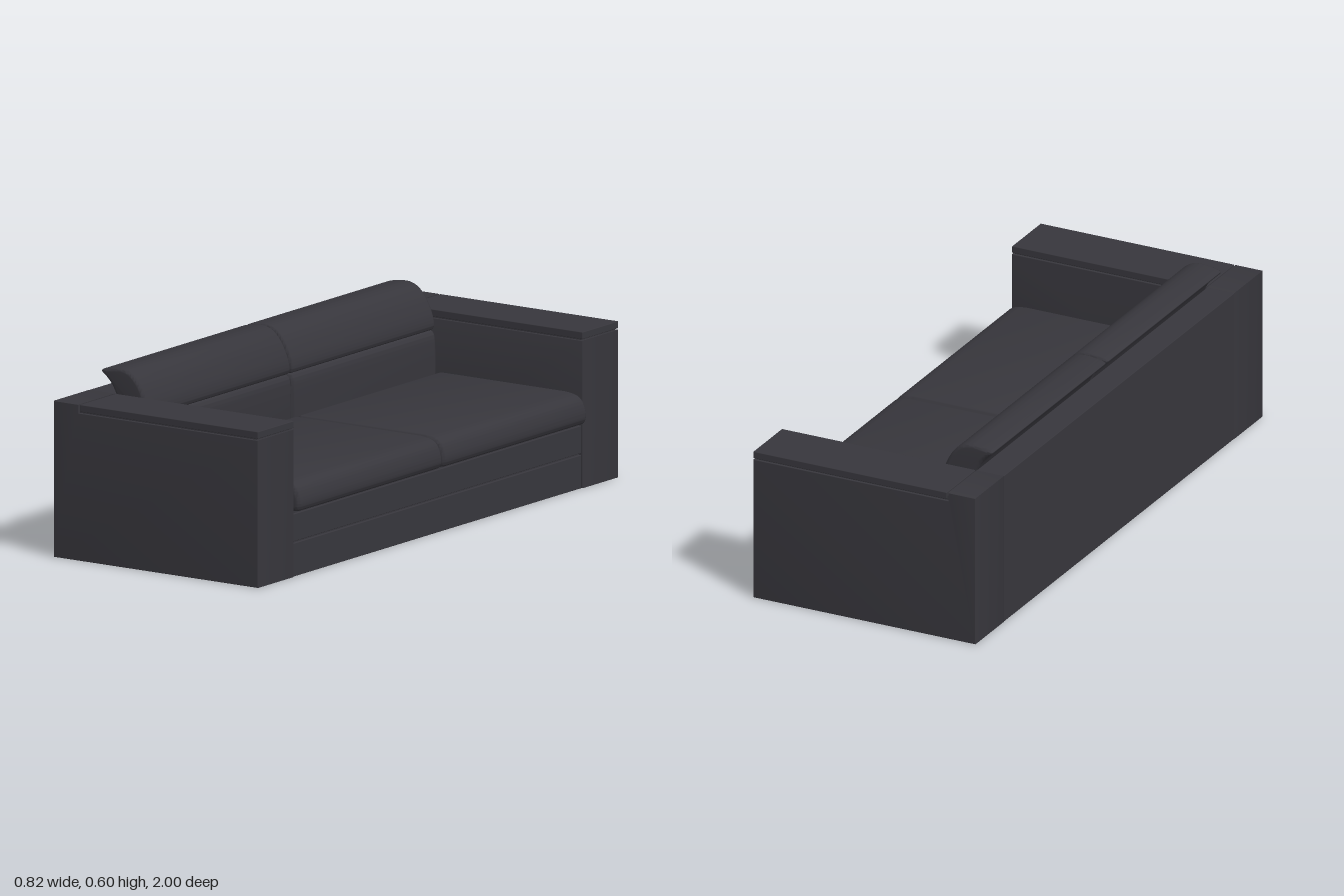
import * as THREE from 'three';
import { toCreasedNormals } from 'three/addons/utils/BufferGeometryUtils.js';
import { RoundedBoxGeometry } from 'three/addons/geometries/RoundedBoxGeometry.js';

const leather = new THREE.MeshStandardMaterial({ color: 0x37363c });
leather.name = 'charcoalLeather';

const v = ([x, y]) => new THREE.Vector2(x, y);

function add(parent, name, geometry) {
  const mesh = new THREE.Mesh(geometry, leather);
  mesh.name = name;
  parent.add(mesh);
  return mesh;
}

// box given by its extents, with slightly softened edges
function block(parent, name, [x0, x1], [y0, y1], [z0, z1], r = 0.002) {
  const g = new RoundedBoxGeometry(x1 - x0, y1 - y0, z1 - z0, 2, r);
  g.translate((x0 + x1) / 2, (y0 + y1) / 2, (z0 + z1) / 2);
  return add(parent, name, g);
}

// side profile (x, y) swept along z, with rounded ends
function sweep(parent, name, shape, z0, z1, bevel, curveSegments = 8) {
  const g = new THREE.ExtrudeGeometry(shape, {
    depth: z1 - z0 - 2 * bevel, curveSegments,
    bevelEnabled: true, bevelThickness: bevel, bevelSize: bevel,
    bevelOffset: -bevel, bevelSegments: 5,
  });
  g.translate(0, 0, z0 + bevel);
  return add(parent, name, toCreasedNormals(g, 0.7));
}

// seat cushion: flat top with a plump, drooping front edge
function seatShape() {
  const s = new THREE.Shape();
  s.moveTo(-0.165, 0.212);
  s.lineTo(0.385, 0.212);
  s.splineThru([[0.402, 0.217], [0.41, 0.235], [0.407, 0.262], [0.394, 0.291],
    [0.37, 0.307], [0.33, 0.313]].map(v));
  s.lineTo(-0.15, 0.313);
  s.quadraticCurveTo(-0.176, 0.311, -0.176, 0.285);
  s.lineTo(-0.176, 0.225);
  s.quadraticCurveTo(-0.176, 0.212, -0.165, 0.212);
  return s;
}

// lower back cushion: upright pad below the crease
function lumbarShape() {
  const s = new THREE.Shape();
  s.moveTo(-0.305, 0.212);
  s.lineTo(-0.195, 0.212);
  s.splineThru([[-0.182, 0.24], [-0.179, 0.32], [-0.18, 0.4], [-0.186, 0.436],
    [-0.205, 0.449]].map(v));
  s.lineTo(-0.305, 0.449);
  s.closePath();
  return s;
}

// upper back cushion: head roll that curls backwards over the frame
function headrestShape() {
  const s = new THREE.Shape();
  s.moveTo(-0.3, 0.442);
  s.lineTo(-0.205, 0.442);
  s.splineThru([[-0.187, 0.453], [-0.187, 0.48], [-0.198, 0.513], [-0.22, 0.553],
    [-0.25, 0.583], [-0.285, 0.595], [-0.33, 0.592], [-0.361, 0.585],
    [-0.366, 0.576], [-0.348, 0.561], [-0.326, 0.537], [-0.309, 0.506]].map(v));
  s.closePath();
  return s;
}

export function createModel() {
  const sofa = new THREE.Group();
  sofa.name = 'sofa';

  // back frame and two-step base
  block(sofa, 'backFrame', [-0.41, -0.312], [0, 0.511], [-0.802, 0.802]);
  block(sofa, 'lowerBase', [-0.32, 0.386], [0, 0.109], [-0.799, 0.799]);
  block(sofa, 'baseRecess', [-0.32, 0.378], [0.02, 0.213], [-0.799, 0.799]);
  block(sofa, 'upperBase', [-0.32, 0.386], [0.115, 0.205], [-0.799, 0.799]);

  // arms: stepped side panel, shadow gap and cap
  const panel = new THREE.Shape([[-0.41, 0], [0.389, 0], [0.389, 0.483],
    [-0.312, 0.483], [-0.312, 0.511], [-0.41, 0.511]].map(v));
  for (const [side, z0, z1] of [['front', 0.8, 1], ['rear', -1, -0.8]]) {
    const arm = new THREE.Group();
    arm.name = side + 'Arm';
    sofa.add(arm);
    sweep(arm, 'armPanel', panel, z0, z1, 0.002);
    block(arm, 'armGap', [-0.316, 0.382], [0.47, 0.5], [z0 + 0.007, z1 - 0.007]);
    block(arm, 'armCap', [-0.307, 0.389], [0.488, 0.511], [z0, z1]);
  }

  // two sets of cushions
  for (const [side, z0, z1] of [['front', 0.002, 0.8], ['rear', -0.8, -0.002]]) {
    const set = new THREE.Group();
    set.name = side + 'Cushions';
    sofa.add(set);
    sweep(set, 'seatCushion', seatShape(), z0, z1, 0.016);
    sweep(set, 'lumbarCushion', lumbarShape(), z0, z1, 0.014);
    sweep(set, 'headrestCushion', headrestShape(), z0, z1, 0.012);
  }
  return sofa;
}
